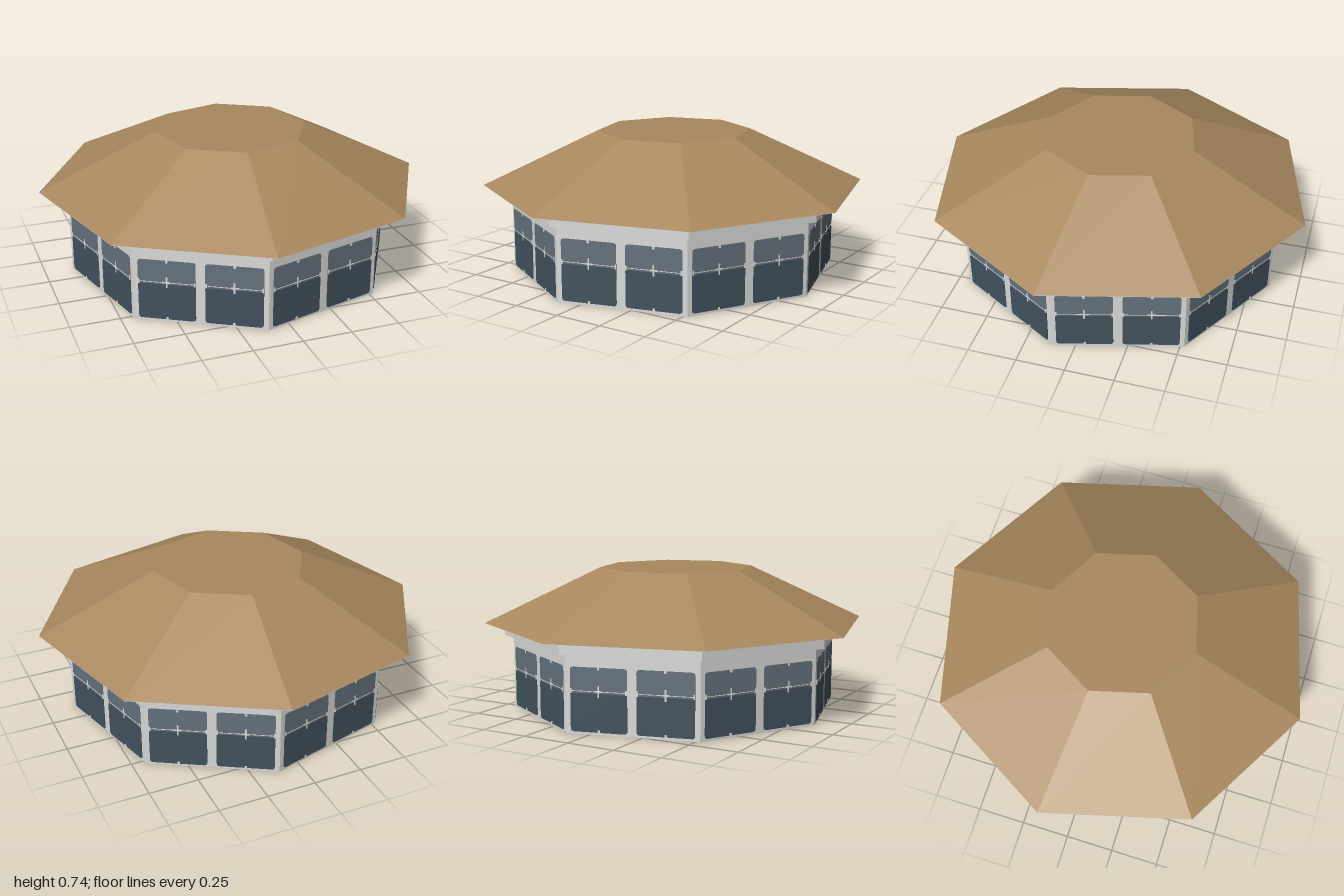
import * as THREE from 'three';

const SIDES = 8;
const START = THREE.MathUtils.degToRad(37.3); // twist of the octagon about y
const STEP = (Math.PI * 2) / SIDES;
const EAVE_Y = 0.45;
const WALL_R = 0.86;

// Lower or upper half of a window pane, rounded on its outer corners only
function paneGeometry(w, y0, y1, roundTop) {
  const r = 0.016, h = w / 2, s = new THREE.Shape();
  if (roundTop) {
    s.moveTo(-h, y0).lineTo(h, y0).lineTo(h, y1 - r);
    s.quadraticCurveTo(h, y1, h - r, y1).lineTo(-h + r, y1);
    s.quadraticCurveTo(-h, y1, -h, y1 - r);
  } else {
    s.moveTo(-h + r, y0).lineTo(h - r, y0);
    s.quadraticCurveTo(h, y0, h, y0 + r).lineTo(h, y1).lineTo(-h, y1);
    s.lineTo(-h, y0 + r).quadraticCurveTo(-h, y0, -h + r, y0);
  }
  s.closePath();
  const g = new THREE.ExtrudeGeometry(s, { depth: 0.006, bevelEnabled: false, curveSegments: 4 });
  return g.translate(0, 0, -0.003);
}

export function createModel() {
  const model = new THREE.Group();
  model.name = 'pavilion';

  const mat = (name, color, extra = {}) => {
    const m = new THREE.MeshStandardMaterial({ color, flatShading: true, ...extra });
    m.name = name;
    return m;
  };
  const roofBrown = mat('roofBrown', 0xa8885e);
  const wallWhite = mat('wallWhite', 0xdadad8, { side: THREE.DoubleSide });
  const glassLight = mat('glassLight', 0x66727e);
  const glassDark = mat('glassDark', 0x42525f);

  const add = (parent, name, geometry, material, x = 0, y = 0, z = 0) => {
    const mesh = new THREE.Mesh(geometry, material);
    mesh.name = name;
    mesh.position.set(x, y, z);
    parent.add(mesh);
    return mesh;
  };
  // Open octagonal band standing between two heights
  const band = (rTop, rBottom, y0, y1) =>
    new THREE.CylinderGeometry(rTop, rBottom, y1 - y0, SIDES, 1, true, START)
      .translate(0, (y0 + y1) / 2, 0);
  // Octagonal flat plate facing up or down
  const plate = (r, up) => {
    const g = new THREE.CircleGeometry(r, SIDES, START - Math.PI / 2);
    return g.rotateX(up ? -Math.PI / 2 : Math.PI / 2);
  };

  // Roof: sloping sides, flat cap and soffit, which is also the ceiling
  add(model, 'roofSlopes', band(0.403, 1.008, EAVE_Y, 0.735), roofBrown);
  const cap = plate(0.403, true);
  add(model, 'roofCap', cap, roofBrown, 0, 0.735, 0);
  const soffit = new THREE.CylinderGeometry(1.008, 1.008, 0.002, SIDES, 1, false, START);
  add(model, 'soffit', soffit, wallWhite, 0, EAVE_Y - 0.001, 0);

  // Fascia band under the eaves and the thin walls, open at the bottom
  add(model, 'fascia', band(0.905, 0.905, 0.385, EAVE_Y), wallWhite);
  add(model, 'walls', band(WALL_R, WALL_R, 0, EAVE_Y), wallWhite);

  // Two windows on every side, showing both inside and out
  const apothem = WALL_R * Math.cos(STEP / 2);
  const paneW = 0.282, bottom = 0.012, split = 0.2, top = 0.325, barY = 0.21;
  const lower = paneGeometry(paneW, bottom, split, false);
  const upper = paneGeometry(paneW, split, top, true);
  const bar = (w, h) => new THREE.BoxGeometry(w, h, 0.009);
  const rail = bar(paneW, 0.003);
  const crossWide = bar(0.04, 0.008), crossTall = bar(0.008, 0.056);
  const notch = bar(0.012, 0.012), sideNotch = bar(0.008, 0.024);

  for (let i = 0; i < SIDES; i++) {
    const side = new THREE.Group();
    side.name = `windowSide${i + 1}`;
    side.rotation.y = START + STEP * (i + 0.5);
    model.add(side);
    for (const x of [-0.164, 0.164]) {
      const win = new THREE.Group();
      win.name = 'window';
      win.position.set(x, 0, apothem);
      side.add(win);
      add(win, 'lowerPane', lower, glassDark);
      add(win, 'upperPane', upper, glassLight);
      add(win, 'rail', rail, wallWhite, 0, barY, 0);
      add(win, 'crossBar', crossWide, wallWhite, 0, barY, 0);
      add(win, 'crossPost', crossTall, wallWhite, 0, barY, 0);
      add(win, 'topNotch', notch, wallWhite, 0, top - 0.006, 0);
      add(win, 'bottomNotch', notch, wallWhite, 0, bottom + 0.006, 0);
      for (const s of [-1, 1]) {
        add(win, 'sideNotch', sideNotch, wallWhite, s * (paneW / 2 - 0.004), barY, 0);
      }
    }
  }
  // The cap shares the twist of the roof slopes
  return model;
}
